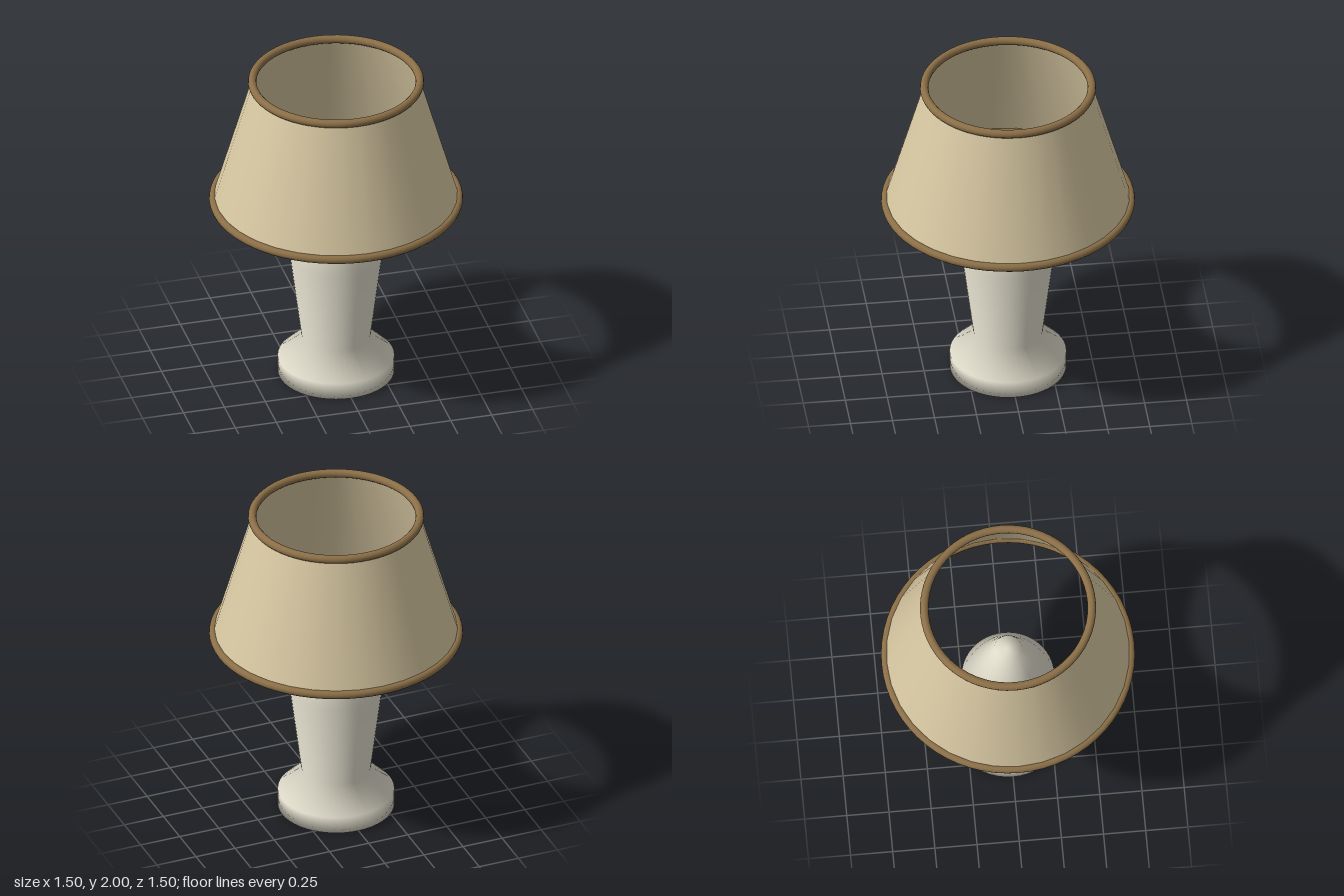
import * as THREE from 'three';

export function createModel() {
  const lamp = new THREE.Group();
  lamp.name = 'tableLamp';

  const ceramic = new THREE.MeshStandardMaterial({ color: 0xe0dccb });
  const fabric = new THREE.MeshStandardMaterial({ color: 0xd9c9a3, side: THREE.DoubleSide });
  const trim = new THREE.MeshStandardMaterial({ color: 0x8b6f47 });

  const add = (name, geometry, material, y = 0) => {
    const mesh = new THREE.Mesh(geometry, material);
    mesh.name = name;
    mesh.position.y = y;
    lamp.add(mesh);
    return mesh;
  };

  // Turned base: foot, waist, shoulder and neck in one smooth profile
  const profile = [
    [0, 0], [0.345, 0], [0.345, 0.105], [0.205, 0.245],
    [0.275, 0.8], [0.155, 1.08], [0.08, 1.28], [0, 1.28],
  ].map(([r, y]) => new THREE.Vector2(r, y));
  add('base', new THREE.LatheGeometry(profile, 48), ceramic);

  // Open tapered shade
  const low = 1.18, high = 1.975;
  add('shade', new THREE.CylinderGeometry(0.495, 0.725, high - low, 32, 1, true),
    fabric, (low + high) / 2);

  // Rolled trim around both shade openings
  for (const [name, radius, y] of [['topTrim', 0.495, high], ['bottomTrim', 0.725, low]]) {
    add(name, new THREE.TorusGeometry(radius, 0.025, 12, 64).rotateX(Math.PI / 2), trim, y);
  }

  return lamp;
}
